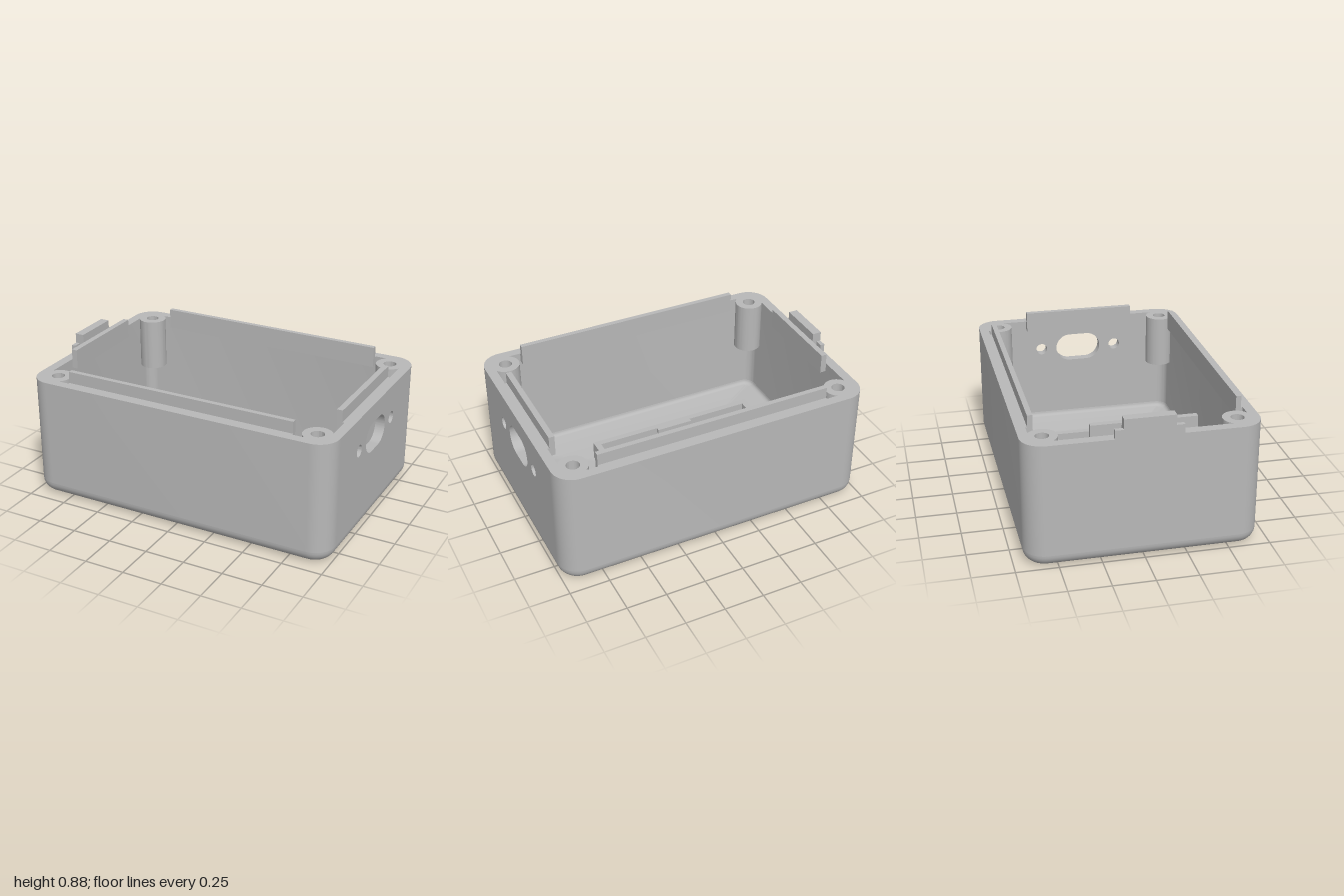
import * as THREE from 'three';
import { toCreasedNormals } from 'three/addons/utils/BufferGeometryUtils.js';

const TOP = 0.767, JOIN = 0.08, FLOOR = 0.05;
const OUT = { x: 1, z: 0.69, r: 0.13 }, IN = { x: 0.94, z: 0.632, r: 0.07 };
const PANEL = 0.55; // half width of the flat panel with the openings

// Rounded-rectangle outline, starting and ending on the +x side
function outline({ x, z, r }, steps = 12) {
  const pts = [];
  [[1, 1], [-1, 1], [-1, -1], [1, -1]].forEach(([sx, sz], q) => {
    for (let i = 0; i <= steps; i++) {
      const a = (q + i / steps) * Math.PI / 2;
      pts.push(new THREE.Vector2(sx * (x - r) + r * Math.cos(a), sz * (z - r) + r * Math.sin(a)));
    }
  });
  return pts;
}

// Extrude a plan shape upward from y0 to y1
function extrudeUp(shape, y0, y1) {
  const g = new THREE.ExtrudeGeometry(shape, { depth: y1 - y0, bevelEnabled: false, curveSegments: 32 });
  g.rotateX(-Math.PI / 2).translate(0, y0, 0);
  return toCreasedNormals(g, 0.6);
}

// Bottom tray lofted through outlines: outer fillet, then inner fillet and floor
function trayGeometry() {
  const levels = [];
  const fillet = (o, rad, yBase, t) => {
    const a = t * Math.PI / 2, d = rad * (1 - Math.sin(a));
    levels.push([{ x: o.x - d, z: o.z - d, r: o.r - d }, yBase + rad * (1 - Math.cos(a))]);
  };
  levels.push([{ x: 0, z: 0, r: 0 }, 0]);
  for (let i = 0; i <= 10; i++) fillet(OUT, 0.08, 0, i / 10);
  for (let i = 6; i >= 0; i--) fillet(IN, JOIN - FLOOR, FLOOR, i / 6);
  levels.push([{ x: 0, z: 0, r: 0 }, FLOOR]);
  const pos = [], idx = [];
  let n = 0;
  for (const [o, y] of levels) {
    const ring = outline(o);
    n = ring.length;
    ring.forEach(p => pos.push(p.x, y, p.y));
  }
  for (let k = 0; k < levels.length - 1; k++) {
    for (let i = 0; i < n; i++) {
      const j = (i + 1) % n, a = k * n + i, b = k * n + j, c = a + n, d = b + n;
      idx.push(a, c, b, b, c, d);
    }
  }
  const g = new THREE.BufferGeometry();
  g.setAttribute('position', new THREE.Float32BufferAttribute(pos, 3));
  g.setIndex(idx);
  return toCreasedNormals(g, 0.6);
}

export function createModel() {
  const model = new THREE.Group();
  model.name = 'enclosure';
  const grey = new THREE.MeshStandardMaterial({ color: 0xb8b8b8 });
  grey.name = 'grey plastic';

  const add = (name, geometry) => {
    const m = new THREE.Mesh(geometry, grey);
    m.name = name;
    model.add(m);
    return m;
  };
  const box = (name, x0, x1, y0, y1, z0, z1) =>
    add(name, new THREE.BoxGeometry(x1 - x0, y1 - y0, z1 - z0)
      .translate((x0 + x1) / 2, (y0 + y1) / 2, (z0 + z1) / 2));

  // Tray and the wall running round all sides but the port panel
  add('tray', trayGeometry());
  const V = (x, y) => new THREE.Vector2(x, y);
  const wall = new THREE.Shape([
    V(OUT.x, PANEL), ...outline(OUT), V(OUT.x, -PANEL),
    V(IN.x, -PANEL), ...outline(IN).reverse(), V(IN.x, PANEL),
  ]);
  add('wall', extrudeUp(wall, JOIN, TOP));

  // Port panel with a slot and two screw holes
  const panel = new THREE.Shape([V(-PANEL, JOIN), V(PANEL, JOIN), V(PANEL, TOP), V(-PANEL, TOP)]);
  const holeY = 0.555, slotR = 0.0935, slotX = 0.152 - slotR;
  const slot = new THREE.Path();
  slot.absarc(slotX, holeY, slotR, -Math.PI / 2, Math.PI / 2, false);
  slot.absarc(-slotX, holeY, slotR, Math.PI / 2, Math.PI * 1.5, false);
  panel.holes.push(slot);
  for (const s of [-1, 1]) {
    panel.holes.push(new THREE.Path().absarc(s * 0.256, holeY, 0.038, 0, Math.PI * 2, false));
  }
  const panelGeo = new THREE.ExtrudeGeometry(panel, { depth: OUT.x - IN.x, bevelEnabled: false, curveSegments: 24 });
  add('portPanel', toCreasedNormals(panelGeo.rotateY(Math.PI / 2).translate(IN.x, 0, 0), 0.6));

  // Corner screw posts, ending part way down the wall
  const post = new THREE.Shape().absarc(0, 0, 0.088, 0, Math.PI * 2, false);
  post.holes.push(new THREE.Path().absarc(0, 0, 0.04, 0, Math.PI * 2, false));
  const postGeo = extrudeUp(post, 0.43, TOP);
  for (const sx of [-1, 1]) {
    for (const sz of [-1, 1]) add('screwPost', postGeo).position.set(sx * 0.866, 0, sz * 0.56);
  }

  // Locating rails, each joined to its wall below the rim
  const railY = 0.71;
  for (const [name, s] of [['frontRail', 1], ['backRail', -1]]) {
    const span = (a, b) => (s > 0 ? [a, b] : [-b, -a]);
    box(name, -0.743, 0.743, railY, 0.84, ...span(0.59, 0.621));
    box(name + 'Root', -0.743, 0.743, railY, TOP, ...span(0.621, 0.636));
  }
  box('portRail', 0.893, 0.928, railY, 0.84, -0.36, 0.36);
  box('portRailRoot', 0.928, 0.944, railY, TOP, -0.36, 0.36);
  box('latchRail', -0.938, -0.902, railY, 0.834, -0.305, 0.305);
  box('latchRailRoot', -0.944, -0.938, railY, TOP, -0.305, 0.305);

  // Latch tab with two low ears
  box('latchTab', -1, -0.943, TOP - 0.02, 0.882, -0.13, 0.167);
  box('latchEar', -1, -0.973, TOP - 0.02, 0.82, -0.18, -0.13);
  box('latchEar', -1, -0.973, TOP - 0.02, 0.82, 0.167, 0.215);

  // Holder frame on the floor with two small clips
  const rect = (x0, x1, z) => [V(x0, -z), V(x1, -z), V(x1, z), V(x0, z)];
  const frame = new THREE.Shape(rect(-0.716, 0.404, 0.304));
  frame.holes.push(new THREE.Path(rect(-0.68, 0.364, 0.266)));
  add('holderFrame', extrudeUp(frame, FLOOR, 0.17));
  box('holderClip', -0.28, -0.037, 0.14, 0.17, -0.27, -0.242);
  box('holderClip', -0.28, -0.037, 0.14, 0.17, 0.242, 0.27);

  return model;
}
